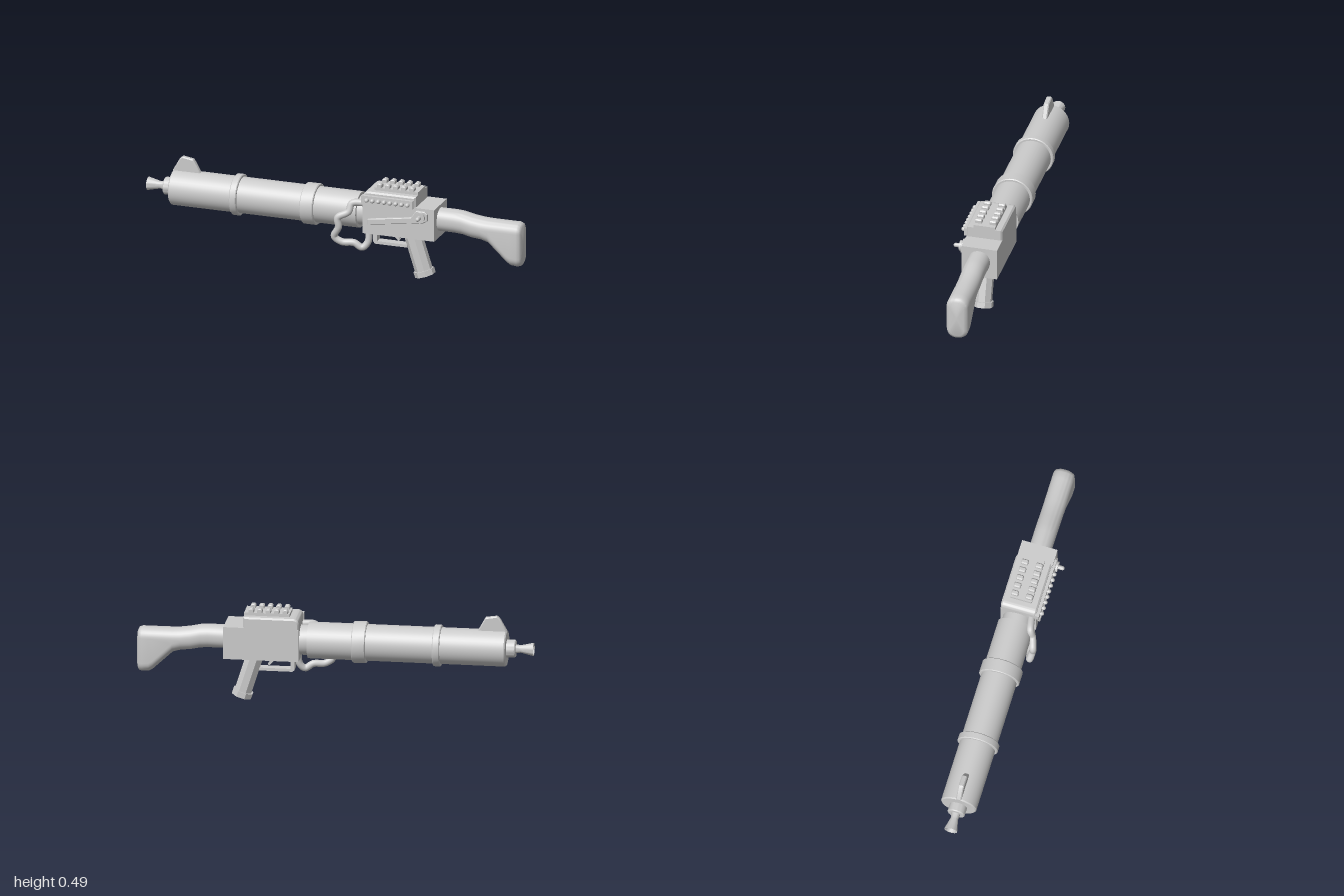
import * as THREE from 'three';
import { toCreasedNormals } from 'three/addons/utils/BufferGeometryUtils.js';

const ZC = -0.022;   // centre plane of the body
const YB = 0.32;     // barrel axis height

export function createModel() {
  const root = new THREE.Group();
  const mat = new THREE.MeshStandardMaterial({ color: 0xcccccc, side: THREE.DoubleSide });

  const add = (name, geo, x = 0, y = 0, z = 0, parent = root) => {
    const m = new THREE.Mesh(geo, mat);
    m.name = name;
    m.position.set(x, y, z);
    parent.add(m);
    return m;
  };
  const box = (name, x0, x1, y0, y1, z0, z1) =>
    add(name, new THREE.BoxGeometry(x1 - x0, y1 - y0, z1 - z0), (x0 + x1) / 2, (y0 + y1) / 2, (z0 + z1) / 2);
  // Turned part along x; profile points are [radius, x]
  const turned = (name, pts, sides = 40) => {
    const g = new THREE.LatheGeometry(pts.map(p => new THREE.Vector2(...p)), sides).rotateZ(-Math.PI / 2);
    return add(name, toCreasedNormals(g, 0.5), 0, YB, ZC);
  };
  // Side outline extruded between two z values, with chamfered rims
  const plate = (name, shape, z0, z1, bevel = 0) => {
    const s = Array.isArray(shape) ? new THREE.Shape(shape.map(p => new THREE.Vector2(...p))) : shape;
    const g = new THREE.ExtrudeGeometry(s, {
      depth: z1 - z0 - 2 * bevel, bevelEnabled: bevel > 0, bevelSize: bevel, bevelThickness: bevel,
      bevelOffset: -bevel, bevelSegments: 1, curveSegments: 10,
    });
    return add(name, toCreasedNormals(g, 0.5), 0, 0, z0 + bevel);
  };

  // Barrel, bands and muzzle
  turned('barrel', [[0, -0.865], [0.086, -0.865], [0.092, -0.859], [0.092, 0.135], [0.076, 0.135], [0.076, 0.18]]);
  for (const [a, b] of [[-0.535, -0.498], [-0.16, -0.09]])
    turned('barrelBand', [[0.09, a], [0.101, a], [0.105, a + 0.004], [0.105, b - 0.004], [0.101, b], [0.09, b]]);
  turned('muzzleCollar', [[0, -0.91], [0.041, -0.91], [0.045, -0.905], [0.045, -0.86]], 28);
  turned('nozzle', [[0, -0.94], [0.012, -0.94], [0.028, -1], [0.034, -1], [0.019, -0.935], [0.023, -0.905]], 28);
  plate('frontSight', [[-0.865, 0.39], [-0.72, 0.39], [-0.72, 0.412], [-0.757, 0.478], [-0.815, 0.487], [-0.828, 0.477], [-0.865, 0.412]],
    ZC - 0.014, ZC + 0.014, 0.005);

  // Receiver with a raised forward housing
  box('receiver', 0.175, 0.555, 0.23, 0.397, -0.115, 0.07);
  const housing = new THREE.Shape();
  housing.moveTo(0.175, 0.36);
  housing.lineTo(0.455, 0.36);
  housing.lineTo(0.455, 0.452);
  housing.lineTo(0.205, 0.452);
  housing.quadraticCurveTo(0.175, 0.452, 0.175, 0.42);
  plate('upperHousing', housing, -0.115, 0.07, 0.008);

  // Studded top rail
  box('topRail', 0.225, 0.455, 0.445, 0.467, -0.078, 0.033);
  for (let i = 0; i < 5; i++)
    for (const z of [-0.06, 0.015]) {
      const x = 0.248 + i * 0.043;
      plate('railStud', [[x - 0.013, 0.46], [x + 0.013, 0.46], [x + 0.013, 0.481], [x + 0.007, 0.487], [x - 0.007, 0.487], [x - 0.013, 0.481]],
        z - 0.018, z + 0.018, 0.004);
    }

  // Button strip on the side
  box('buttonStrip', 0.172, 0.445, 0.393, 0.435, 0.065, 0.086);
  const button = new THREE.CapsuleGeometry(0.011, 0.012, 5, 14).rotateX(Math.PI / 2);
  for (let i = 0; i < 8; i++) add('button', button, 0.203 + i * 0.031, 0.414, 0.088);

  // Selector lever with pivot
  plate('selectorLever', [[0.205, 0.282], [0.5, 0.325], [0.522, 0.338], [0.522, 0.372], [0.507, 0.385], [0.462, 0.385], [0.435, 0.347], [0.205, 0.312]],
    0.065, 0.084, 0.003);
  const disc = (r, len) => new THREE.CylinderGeometry(r, r, len, 24).rotateX(Math.PI / 2);
  add('pivotBoss', disc(0.027, 0.02), 0.484, 0.355, 0.085);
  add('pivotPin', new THREE.CapsuleGeometry(0.011, 0.03, 5, 16).rotateX(Math.PI / 2), 0.484, 0.355, 0.102);

  // Trigger guard and trigger
  plate('triggerGuard', [[0.205, 0.235], [0.205, 0.165], [0.215, 0.155], [0.385, 0.155], [0.385, 0.17], [0.225, 0.17], [0.225, 0.235]],
    ZC - 0.022, ZC + 0.022);
  plate('trigger', [[0.295, 0.235], [0.305, 0.21], [0.335, 0.18], [0.342, 0.186], [0.328, 0.212], [0.33, 0.235]],
    ZC - 0.01, ZC + 0.01);

  // Raked octagonal pistol grip
  const grip = new THREE.Group();
  grip.name = 'pistolGrip';
  grip.position.set(0.405, 0.235, ZC);
  grip.rotation.z = 0.307;
  root.add(grip);
  const octagon = (w, h, d) => {
    const r = 0.5 / Math.cos(Math.PI / 8);
    const g = new THREE.CylinderGeometry(r, r, 1, 8).rotateY(Math.PI / 8).scale(w, h, d);
    return toCreasedNormals(g, 0.4);
  };
  add('gripBody', octagon(0.085, 0.24, 0.08), 0, -0.095, 0, grip);
  add('gripCap', octagon(0.1, 0.029, 0.095), 0, -0.217, 0, grip);

  // Shoulder stock lofted from rounded sections: x, bottom, top, half width, corner radius
  const sections = [
    [0.54, 0.262, 0.38, 0.056, 0.054], [0.64, 0.262, 0.38, 0.056, 0.054], [0.68, 0.259, 0.377, 0.056, 0.054],
    [0.73, 0.248, 0.366, 0.056, 0.054], [0.78, 0.243, 0.359, 0.056, 0.054], [0.82, 0.232, 0.356, 0.056, 0.052],
    [0.92, 0.139, 0.355, 0.056, 0.05], [0.94, 0.127, 0.355, 0.056, 0.05], [0.975, 0.124, 0.355, 0.056, 0.05],
    [0.99, 0.13, 0.349, 0.05, 0.044], [0.997, 0.144, 0.336, 0.037, 0.032], [0.997, 0.24, 0.24, 0, 0],
  ];
  const pos = [], idx = [], per = 9, ring = per * 4;
  for (const [x, yb, yt, hw, r] of sections)
    for (let c = 0; c < 4; c++)
      for (let k = 0; k < per; k++) {
        const a = (c + k / (per - 1)) * Math.PI / 2;
        const sz = c === 0 || c === 3 ? 1 : -1, sy = c < 2 ? 1 : -1;
        pos.push(x, (yb + yt) / 2 + sy * ((yt - yb) / 2 - r) + r * Math.sin(a), ZC + sz * (hw - r) + r * Math.cos(a));
      }
  for (let i = 0; i < sections.length - 1; i++)
    for (let j = 0; j < ring; j++) {
      const a = i * ring + j, b = i * ring + (j + 1) % ring;
      idx.push(a, a + ring, b, b, a + ring, b + ring);
    }
  const stock = new THREE.BufferGeometry();
  stock.setAttribute('position', new THREE.Float32BufferAttribute(pos, 3));
  stock.setIndex(idx);
  add('stock', toCreasedNormals(stock, 0.75));

  // Bent hose beside the receiver
  const path = new THREE.CatmullRomCurve3([
    [0.19, 0.383, 0.045], [0.115, 0.378, 0.06], [0.1, 0.335, 0.075], [0.05, 0.305, 0.092], [0.053, 0.255, 0.09],
    [0.028, 0.2, 0.082], [0.065, 0.172, 0.072], [0.125, 0.17, 0.06], [0.165, 0.148, 0.052], [0.192, 0.175, 0.042], [0.197, 0.245, 0.035],
  ].map(p => new THREE.Vector3(...p)));
  add('hose', new THREE.TubeGeometry(path, 90, 0.018, 14));

  return root;
}
